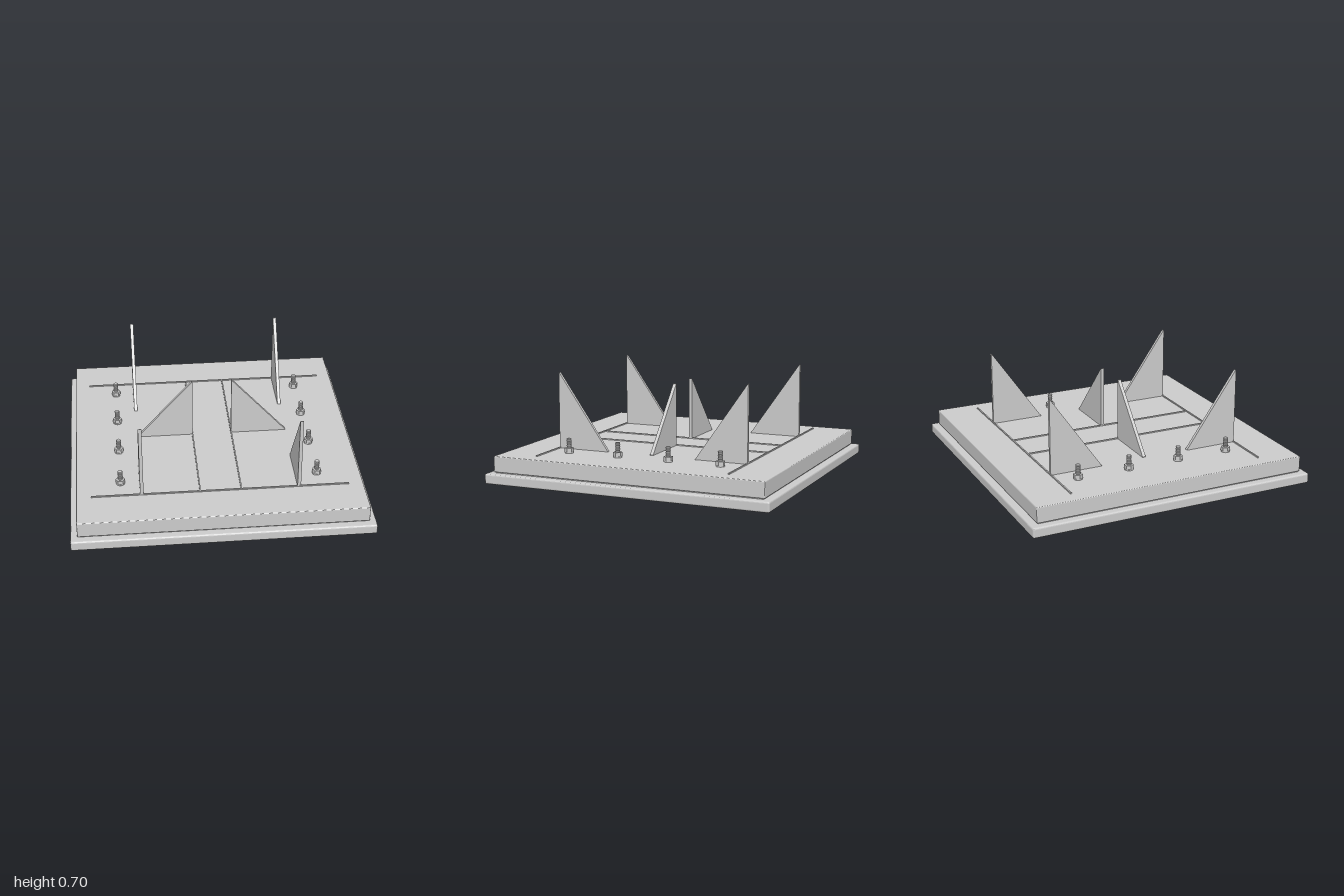
import * as THREE from 'three';
import { RoundedBoxGeometry } from 'three/addons/geometries/RoundedBoxGeometry.js';

const material = new THREE.MeshStandardMaterial({ color: 0xcccccc, flatShading: true });
const DECK = 0.185; // top of the upper slab

function add(parent, name, geometry, x = 0, y = 0, z = 0) {
  const mesh = new THREE.Mesh(geometry, material);
  mesh.name = name;
  mesh.position.set(x, y, z);
  parent.add(mesh);
  return mesh;
}

// Upright triangular plate: vertical edge at the origin, sloping down along +x
function gussetGeometry(length, height, thickness) {
  const shape = new THREE.Shape([
    new THREE.Vector2(0, 0),
    new THREE.Vector2(length, 0),
    new THREE.Vector2(length, 0.004),
    new THREE.Vector2(0.004, height),
    new THREE.Vector2(0, height),
  ]);
  return new THREE.ExtrudeGeometry(shape, { depth: thickness, bevelEnabled: false })
    .translate(0, 0, -thickness / 2);
}

// Threaded rod profile: alternating crest and root radii
function rodGeometry(height, threads) {
  const points = [new THREE.Vector2(0, 0)];
  for (let i = 0; i <= threads * 2; i++) {
    points.push(new THREE.Vector2(i % 2 ? 0.017 : 0.0145, (height * i) / (threads * 2)));
  }
  points.push(new THREE.Vector2(0, height));
  return new THREE.LatheGeometry(points, 16);
}

export function createModel() {
  const model = new THREE.Group();
  model.name = 'anchorBasePlate';

  // Stacked slabs
  add(model, 'lowerSlab', new RoundedBoxGeometry(2, 0.07, 2, 2, 0.012), 0, 0.035, 0);
  add(model, 'beddingLayer', new THREE.BoxGeometry(1.89, 0.02, 1.89), 0, 0.07, 0);
  add(model, 'upperSlab', new RoundedBoxGeometry(1.91, 0.11, 1.91, 2, 0.008), 0, DECK - 0.055, 0);

  // H-shaped seam: two flange lines and two web lines
  for (const s of [-1, 1]) {
    add(model, 'flangeSeam', new THREE.BoxGeometry(1.715, 0.012, 0.009), 0, DECK + 0.002, s * 0.683);
    add(model, 'webSeam', new THREE.BoxGeometry(0.009, 0.012, 1.366), s * 0.137, DECK + 0.002, 0);
  }

  // Stiffener gussets
  const cornerGusset = gussetGeometry(0.365, 0.705 - DECK, 0.023);
  const webGusset = gussetGeometry(0.385, 0.615 - DECK, 0.023);
  for (const sx of [-1, 1]) {
    for (const sz of [-1, 1]) {
      const plate = add(model, 'cornerGusset', cornerGusset, sx * 0.523, DECK, sz * 0.685);
      plate.rotation.y = (sz * Math.PI) / 2; // slope towards the centre
    }
    const plate = add(model, 'webGusset', webGusset, sx * 0.135, DECK, 0);
    plate.rotation.y = sx > 0 ? 0 : Math.PI;
  }

  // Anchor bolts in two rows of four
  const washer = new THREE.CylinderGeometry(0.029, 0.029, 0.008, 20);
  const nut = new THREE.CylinderGeometry(0.031, 0.031, 0.027, 6).rotateY(Math.PI / 6);
  const rod = rodGeometry(0.1, 9);
  for (const x of [-0.66, 0.66]) {
    for (const z of [-0.547, -0.183, 0.181, 0.545]) {
      const bolt = new THREE.Group();
      bolt.name = 'anchorBolt';
      bolt.position.set(x, DECK, z);
      add(bolt, 'washer', washer, 0, 0.004, 0);
      add(bolt, 'hexNut', nut, 0, 0.0215, 0);
      add(bolt, 'threadedRod', rod);
      model.add(bolt);
    }
  }
  return model;
}
